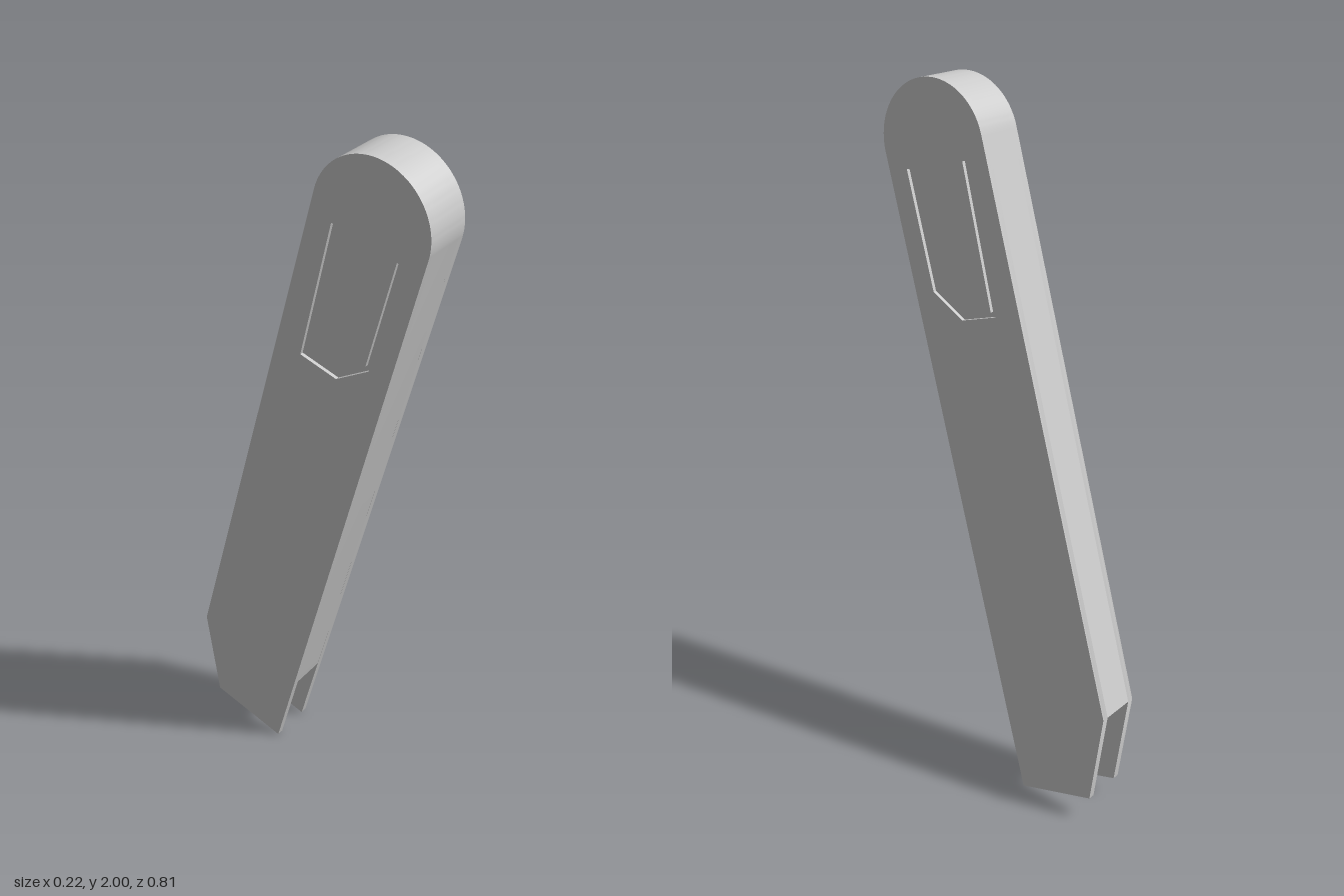
import * as THREE from 'three';
import { toCreasedNormals } from 'three/addons/utils/BufferGeometryUtils.js';

const LEAN = THREE.MathUtils.degToRad(16.8);
const CENTRE = [0.236, 1.83]; // centre of the rounded top, in (z, y)
const RADIUS = 0.167;
const HALF_WIDTH = 0.07;
const THICK = 0.02;

const material = new THREE.MeshStandardMaterial({ color: 0xcccccc });

// Extrudes a side profile across the width, between two distances from the middle
function slab(name, shape, from, to) {
  const geo = new THREE.ExtrudeGeometry(shape, {
    depth: to - from, bevelEnabled: false, curveSegments: 32,
  });
  geo.translate(0, 0, from);
  const mesh = new THREE.Mesh(toCreasedNormals(geo, 0.5), material);
  mesh.name = name;
  return mesh;
}

// Starts an outline at the front edge, runs up and over the rounded top to the back corner
function outline(startZ, startY) {
  const s = new THREE.Shape();
  s.moveTo(startZ, startY);
  s.lineTo(CENTRE[0] + RADIUS * Math.cos(LEAN), CENTRE[1] - RADIUS * Math.sin(LEAN));
  s.absarc(...CENTRE, RADIUS, -LEAN, Math.PI - LEAN, false);
  s.lineTo(-0.403, 0.357);
  return s;
}

// Full side plate: pointed tip, rounded top, clipped heel
function plateShape() {
  const s = outline(-0.143, 0.005);
  s.lineTo(-0.375, 0.078);
  s.closePath();
  return s;
}

// Side plate skin with a narrow U-shaped slot around a tongue
function slottedShape() {
  const s = plateShape();
  const slot = [
    [0.318, 1.753], [0.222, 1.442], [0.121, 1.387], [0.01, 1.423], [0.12, 1.81],
    [0.132, 1.807], [0.027, 1.432], [0.123, 1.402], [0.212, 1.452], [0.306, 1.757],
  ].map(([z, y]) => new THREE.Vector2(z + 0.004, y - 0.003));
  s.holes.push(new THREE.Path(slot));
  return s;
}

// Band that follows the front edge, the rounded top and the back edge
function wallShape() {
  const nx = THICK * Math.cos(LEAN), ny = THICK * Math.sin(LEAN);
  const s = outline(-0.069, 0.25);
  s.lineTo(-0.403 + nx, 0.357 - ny);
  s.absarc(...CENTRE, RADIUS - THICK, Math.PI - LEAN, -LEAN, true);
  s.lineTo(-0.069 - nx, 0.25);
  s.closePath();
  return s;
}

export function createModel() {
  const group = new THREE.Group();
  group.name = 'sleeve';

  // Each side is a plain liner under a slotted skin, so the slot reads as a groove
  const inner = HALF_WIDTH - THICK;
  const middle = HALF_WIDTH - THICK / 2;
  group.add(
    slab('leftSkin', slottedShape(), -HALF_WIDTH, -middle),
    slab('leftLiner', plateShape(), -middle, -inner),
    slab('rightLiner', plateShape(), inner, middle),
    slab('rightSkin', slottedShape(), middle, HALF_WIDTH),
    slab('edgeWall', wallShape(), -inner, inner),
  );

  // Profile axes become z and y, with a slight sideways lean and turn
  const frame = new THREE.Matrix4().makeBasis(
    new THREE.Vector3(0.055, 0, 1),
    new THREE.Vector3(-0.05, 1, 0),
    new THREE.Vector3(-1, -0.05, 0.055),
  ).setPosition(0.05, 0, 0);
  group.children.forEach((mesh) => mesh.geometry.applyMatrix4(frame));

  return group;
}
